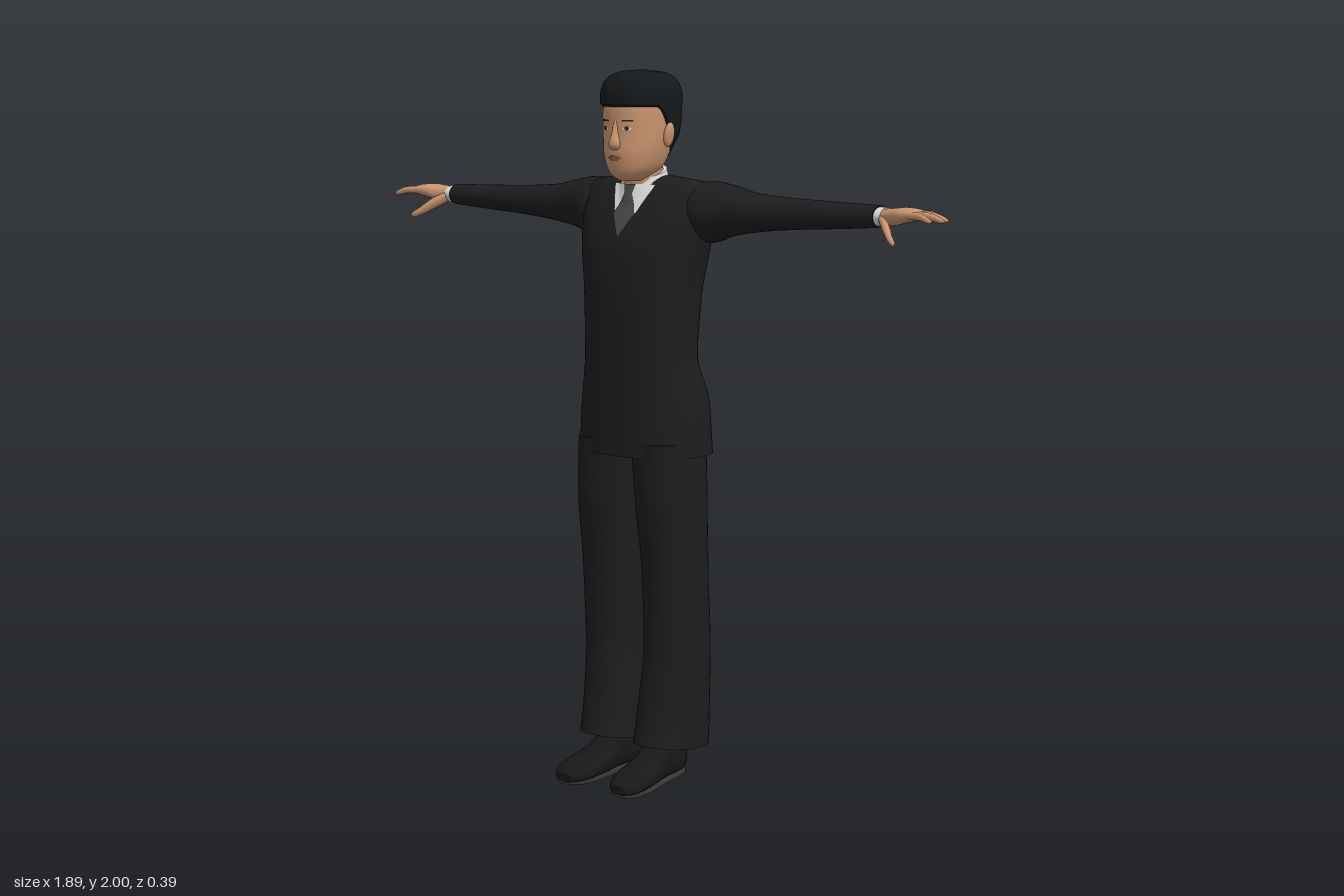
import * as THREE from 'three';

const mat = (name, color) => Object.assign(new THREE.MeshStandardMaterial({ color }), { name });
const M = {
  suit: mat('suit black', 0x1d1d1d), hair: mat('hair black', 0x15181a), shoe: mat('shoe black', 0x181818),
  sole: mat('sole brown', 0x3c3530), skin: mat('skin', 0xc99470), shirt: mat('shirt white', 0xdcdcda),
  tie: mat('tie grey', 0x484848), lips: mat('lips brown', 0x925f49), dark: mat('eye dark', 0x2a201b),
};

// Smoothly interpolated cross-section at t; rows are [t, uMin, uMax, vMin, vMax]
function sectionAt(rows, t) {
  const last = rows.length - 1;
  t = THREE.MathUtils.clamp(t, rows[0][0], rows[last][0]);
  let i = 0;
  while (i < last - 1 && t > rows[i + 1][0]) i++;
  const a = rows[i], b = rows[i + 1], h = b[0] - a[0], s = (t - a[0]) / h;
  const slope = (j, k) => {
    if (j === 0 || j === last) return (b[k] - a[k]) / h;
    const d0 = (rows[j][k] - rows[j - 1][k]) / (rows[j][0] - rows[j - 1][0]);
    const d1 = (rows[j + 1][k] - rows[j][k]) / (rows[j + 1][0] - rows[j][0]);
    return d0 * d1 <= 0 ? 0 : 2 * d0 * d1 / (d0 + d1);
  };
  return [1, 2, 3, 4].map(k => {
    const s2 = s * s, s3 = s2 * s;
    return (2 * s3 - 3 * s2 + 1) * a[k] + (s3 - 2 * s2 + s) * h * slope(i, k)
      + (3 * s2 - 2 * s3) * b[k] + (s3 - s2) * h * slope(i + 1, k);
  });
}

// Closed loft along an axis; start and end may vary around the section
function loft(name, material, rows, { axis = 'y', n = 2, segs = 32, steps = 24, start, end } = {}) {
  const pos = [], idx = [], t0 = rows[0][0], t1 = rows[rows.length - 1][0];
  const put = (t, u, v) => pos.push(...(axis === 'y' ? [u, t, v] : axis === 'x' ? [t, u, v] : [u, v, t]));
  const tri = (a, b, c) => axis === 'y' ? idx.push(a, c, b) : idx.push(a, b, c);
  const power = c => Math.sign(c) * Math.abs(c) ** (2 / n);
  const point = (j, i) => {
    const th = i / segs * Math.PI * 2, c = Math.cos(th), s = Math.sin(th);
    const lo = start ? start(s) : t0, hi = end ? end(s) : t1;
    const t = lo + (hi - lo) * j / steps, [u0, u1, v0, v1] = sectionAt(rows, t);
    put(t, (u0 + u1) / 2 + (u1 - u0) / 2 * power(c), (v0 + v1) / 2 + (v1 - v0) / 2 * power(s));
  };
  for (let j = 0; j <= steps; j++) for (let i = 0; i < segs; i++) point(j, i);
  for (let j = 0; j < steps; j++) for (let i = 0; i < segs; i++) {
    const a = j * segs + i, b = j * segs + (i + 1) % segs;
    tri(a, b, a + segs); tri(b, b + segs, a + segs);
  }
  for (const j of [0, steps]) {
    const base = pos.length / 3, mid = [0, 0, 0];
    for (let i = 0; i < segs; i++) point(j, i);
    for (let i = 0; i < segs; i++) for (let k = 0; k < 3; k++) mid[k] += pos[(base + i) * 3 + k] / segs;
    pos.push(...mid);
    for (let i = 0; i < segs; i++) {
      const a = base + i, b = base + (i + 1) % segs;
      j ? tri(a, b, base + segs) : tri(b, a, base + segs);
    }
  }
  return build(name, material, pos, idx);
}

function build(name, material, pos, idx) {
  const g = new THREE.BufferGeometry();
  g.setAttribute('position', new THREE.Float32BufferAttribute(pos, 3));
  g.setIndex(idx);
  g.computeVertexNormals();
  return Object.assign(new THREE.Mesh(g, material), { name });
}

// Front z of a lofted body at (x, y)
function frontZ(rows, n, x, y) {
  const [u0, u1, v0, v1] = sectionAt(rows, y);
  const r = Math.min(1, Math.abs((x - (u0 + u1) / 2) / ((u1 - u0) / 2)));
  return (v0 + v1) / 2 + (v1 - v0) / 2 * (1 - r ** n) ** (1 / n);
}

// Thin patch lying on a surface; outline rows are [y, half width], rising
function patch(name, material, surface, cx, outline, lift) {
  const pos = [], idx = [], nu = 10, nv = 5, w = nu + 1;
  const lines = [];
  outline.forEach(([y, hw], k) => {
    if (!k) return lines.push([y, hw]);
    const [py, pw] = outline[k - 1];
    for (let s = 1; s <= nv; s++) lines.push([py + (y - py) * s / nv, pw + (hw - pw) * s / nv]);
  });
  for (const [y, hw] of lines) for (let i = 0; i <= nu; i++) {
    const x = cx + hw * (i / nu * 2 - 1);
    pos.push(x, y, surface(x, y) + lift);
  }
  for (let j = 0; j < lines.length - 1; j++) for (let i = 0; i < nu; i++) {
    const a = j * w + i;
    idx.push(a, a + 1, a + w, a + 1, a + w + 1, a + w);
  }
  return build(name, material, pos, idx);
}

// Mirrored copy with its corner order reversed
function mirror(mesh) {
  const g = mesh.geometry.clone().scale(-1, 1, 1), id = g.index.array;
  for (let i = 0; i < id.length; i += 3) [id[i], id[i + 1]] = [id[i + 1], id[i]];
  g.computeVertexNormals();
  return Object.assign(new THREE.Mesh(g, mesh.material), { name: mesh.name.replace('left', 'right') });
}

const TORSO = [[.94, -.2, .2, -.195, .09], [1.08, -.19, .19, -.19, .09], [1.22, -.167, .167, -.152, .092],
  [1.38, -.172, .172, -.168, .094], [1.5, -.19, .19, -.182, .085], [1.58, -.205, .205, -.186, .058],
  [1.65, -.215, .215, -.18, .02], [1.69, -.2, .2, -.15, -.005], [1.705, -.13, .13, -.125, -.02], [1.712, -.07, .07, -.1, -.03]];
const COLLAR = [[1.64, -.075, .075, -.115, .03], [1.69, -.07, .07, -.11, .015], [1.74, -.062, .062, -.1, 0]];
const HEAD = [[1.7, -.03, .03, -.03, .05], [1.715, -.05, .05, -.06, .076], [1.74, -.069, .069, -.09, .085],
  [1.78, -.082, .082, -.11, .09], [1.83, -.09, .09, -.13, .087], [1.88, -.092, .092, -.14, .087],
  [1.93, -.09, .09, -.14, .08], [1.97, -.07, .07, -.11, .05]];
const HAIR = [[1.75, -.062, .062, -.105, .06], [1.79, -.082, .082, -.126, .09], [1.83, -.096, .096, -.146, .092],
  [1.88, -.099, .099, -.153, .093], [1.93, -.1, .1, -.155, .095], [1.965, -.09, .09, -.146, .086],
  [1.988, -.066, .066, -.12, .062], [1.998, -.035, .035, -.085, .02], [2, -.005, .005, -.05, -.03]];
const LEG = [[.08, .008, .185, -.172, .088], [.2, .01, .185, -.172, .062], [.4, .022, .188, -.165, .042],
  [.6, .022, .19, -.15, .05], [.8, .012, .192, -.145, .072], [.98, 0, .185, -.15, .08]];
const ARM = [[.1, 1.56, 1.68, -.16, -.02], [.2, 1.53, 1.7, -.182, -.002], [.26, 1.55, 1.692, -.168, -.02],
  [.35, 1.567, 1.672, -.148, -.035], [.45, 1.578, 1.665, -.14, -.045], [.6, 1.588, 1.66, -.135, -.05], [.735, 1.598, 1.657, -.132, -.052]];
const SHOE = [[-.115, .055, .1, .01, .08], [-.09, .038, .12, .004, .12], [0, .04, .13, .004, .12], [.06, .035, .14, .004, .085],
  [.13, .035, .15, .004, .062], [.18, .05, .145, .004, .045], [.2, .075, .12, .008, .03]];
const SOLE = SHOE.map(([z, a, b]) => [z * .98, a + .003, b - .003, 0, .014]);

function createModel() {
  const model = new THREE.Group();
  model.name = 'man in suit';
  const add = (...meshes) => model.add(...meshes);
  const pair = mesh => add(mesh, mirror(mesh));

  // Jacket, shirt and tie
  const chest = (x, y) => Math.max(frontZ(TORSO, 2.3, x, y),
    y > 1.64 && Math.abs(x) < .07 ? frontZ(COLLAR, 2, x, y) : -1);
  add(loft('jacket', M.suit, TORSO, { n: 2.3, segs: 48, steps: 48 }),
    loft('shirt collar', M.shirt, COLLAR, { end: s => 1.722 - .018 * s }),
    patch('shirt front', M.shirt, chest, 0, [[1.55, 0], [1.62, .04], [1.69, .07]], .004),
    patch('tie', M.tie, chest, 0, [[1.545, 0], [1.61, .036], [1.665, .013], [1.69, .019]], .008));

  // Sleeves, trousers and shoes
  pair(loft('left sleeve', M.suit, ARM, { axis: 'x', steps: 30 }));
  pair(loft('left trouser leg', M.suit, LEG, { n: 2.3, steps: 30, start: s => .1 + .018 * s }));
  pair(loft('left shoe', M.shoe, SHOE, { axis: 'z', n: 2.4 }));
  pair(loft('left sole', M.sole, SOLE, { axis: 'z', n: 5 }));

  // Cuffs and hands
  pair(loft('left cuff', M.shirt, [[.72, 1.602, 1.653, -.127, -.056], [.755, 1.603, 1.652, -.125, -.055]], { axis: 'x', steps: 2 }));
  pair(loft('left palm', M.skin, [[.74, 1.61, 1.647, -.115, -.062], [.78, 1.606, 1.652, -.117, -.05],
    [.82, 1.615, 1.656, -.118, -.037], [.855, 1.623, 1.653, -.115, -.034], [.868, 1.632, 1.645, -.105, -.045]], { axis: 'x', n: 2.4 }));
  const fingers = [[-.106, -.112, .918], [-.086, -.086, .942], [-.065, -.058, .946], [-.045, -.026, .928]];
  fingers.forEach(([z0, z1, tip], i) => {
    const row = (x, y, z, r) => [x, y - r, y + r, z - r, z + r];
    const zm = (z0 + z1) / 2, xm = (.84 + tip) / 2;
    pair(loft('left finger ' + (i + 1), M.skin, [row(.84, 1.638, z0, .011), row(xm, 1.637, zm, .01),
      row(tip - .008, 1.627, z1, .007), row(tip, 1.625, z1, .002)], { axis: 'x', segs: 10, steps: 10 }));
  });
  pair(loft('left thumb', M.skin, [[.752, 1.608, 1.638, -.085, -.055], [.785, 1.584, 1.617, -.058, -.022],
    [.815, 1.565, 1.588, -.025, .001], [.833, 1.559, 1.574, -.006, .009], [.837, 1.563, 1.568, 0, .005]], { axis: 'x', segs: 12, steps: 12 }));

  // Neck, head and hair
  add(loft('neck', M.skin, [[1.64, -.058, .058, -.095, .01], [1.78, -.055, .055, -.095, .03]], { steps: 4 }),
    loft('head', M.skin, HEAD, { n: 2.2, segs: 40, steps: 32 }),
    loft('hair', M.hair, HAIR, { n: 2.2, segs: 56, steps: 32,
      start: s => 1.755 + .152 * THREE.MathUtils.smoothstep(s, -.45, .35) }),
    loft('nose', M.skin, [[1.785, -.012, .012, .07, .093], [1.797, -.018, .018, .07, .108],
      [1.83, -.01, .01, .07, .099], [1.865, -.006, .006, .07, .088]], { segs: 14, steps: 10 }));
  const ear = new THREE.SphereGeometry(1, 16, 12).scale(.011, .034, .02).rotateZ(-.15).translate(.095, 1.825, -.03);
  pair(Object.assign(new THREE.Mesh(ear, M.skin), { name: 'left ear' }));

  // Painted face details
  const face = (x, y) => frontZ(HEAD, 2.2, x, y);
  pair(patch('left eye white', M.shirt, face, .036, [[1.838, .003], [1.843, .013], [1.848, .004]], .002));
  pair(patch('left iris', M.dark, face, .036, [[1.838, .003], [1.843, .006], [1.849, .005]], .003));
  pair(patch('left eyebrow', M.dark, face, .037, [[1.862, .016], [1.867, .014]], .002));
  add(patch('mouth', M.lips, face, 0, [[1.757, .01], [1.764, .024], [1.771, .01]], .003));
  return model;
}

export { createModel };
